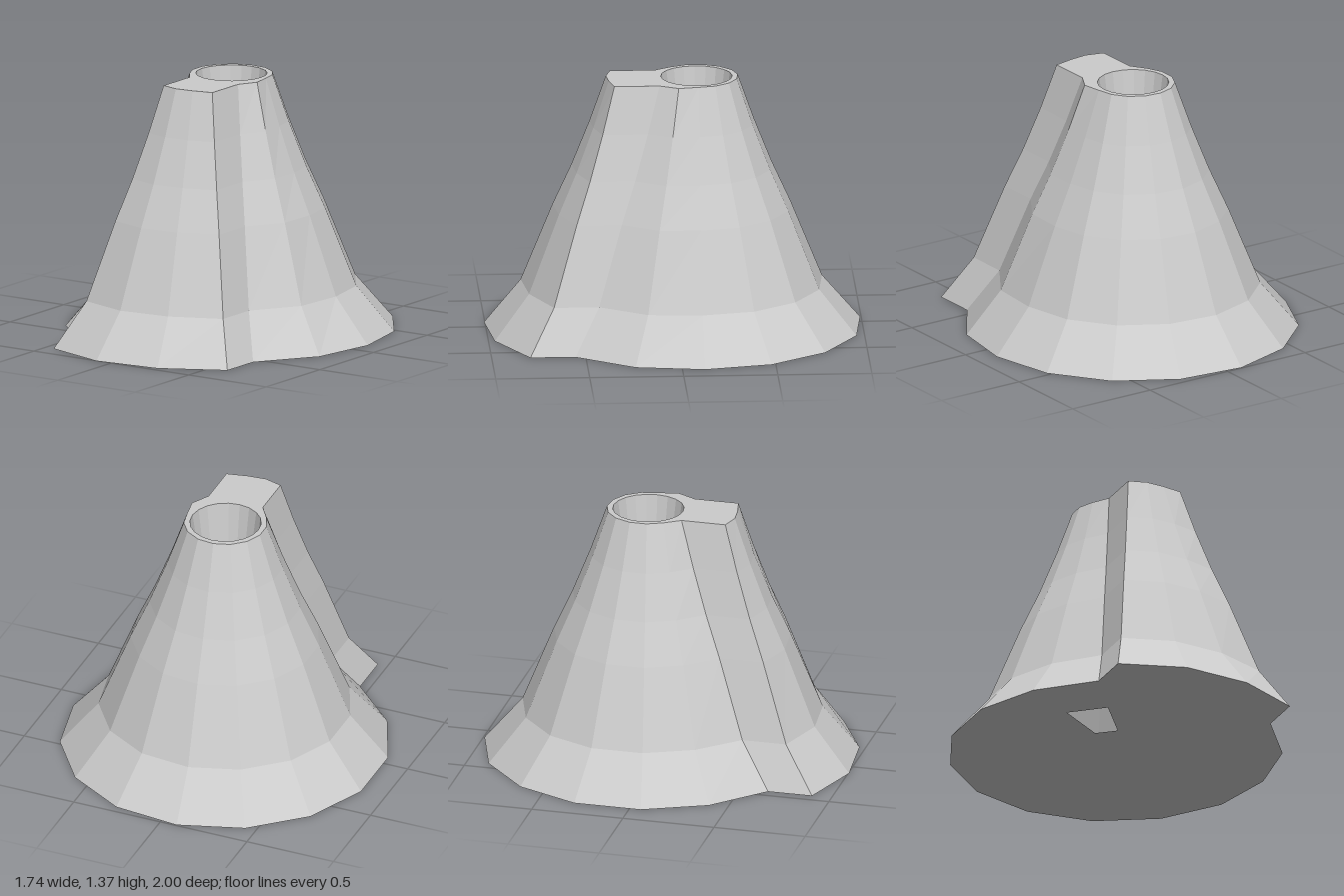
import * as THREE from 'three';

const SIDES = 15, STEP = (Math.PI * 2) / SIDES, SHIFT = 0.12;
const TOP = 1.37, CRATER_R = 0.19;
// Slope profile: [radius, height]
const PROFILE = [[0.88, 0], [0.675, 0.24], [0.505, 0.66], [0.405, 0.88], [0.31, 1.12], [0.222, TOP]];
// Columns beside the front ridge bulge slightly outwards
const BULGE = { 1: 0.04, 2: 0.055, 3: 0.02, 4: 0.02, 5: 0.025 };

// One horizontal section: a 15-sided ring whose front sectors step forward
function section(radius, y) {
  const ring = [];
  const add = (k, z0) => {
    const b = (BULGE[k] || 0) * (y === 0 ? 0.5 : 1);
    const r = radius + b;
    ring.push(new THREE.Vector3(r * Math.cos(k * STEP), y, z0 + r * Math.sin(k * STEP)));
  };
  for (let k = 0; k < SIDES; k++) {
    if (k === 2) add(k, -SHIFT);
    add(k, k >= 2 && k <= 5 ? SHIFT : -SHIFT);
    if (k === 5) add(k, -SHIFT);
  }
  return ring;
}

// Flat cap from a section, optionally with a hole; up = +1 or -1
function cap(ring, hole, up, y) {
  const shape = new THREE.Shape(ring.map((p) => new THREE.Vector2(p.x, -up * p.z)));
  shape.holes.push(new THREE.Path(hole.map(([x, z]) => new THREE.Vector2(x, -up * z))));
  const g = new THREE.ShapeGeometry(shape);
  g.rotateX((-up * Math.PI) / 2);
  g.translate(0, y, 0);
  return g;
}

export function createModel() {
  const group = new THREE.Group();
  const material = new THREE.MeshStandardMaterial({
    color: 0xcccccc, flatShading: true, side: THREE.DoubleSide,
  });
  const addPart = (name, geometry) => {
    const mesh = new THREE.Mesh(geometry, material);
    mesh.name = name;
    group.add(mesh);
    return mesh;
  };

  // Faceted slopes, including the stepped front ridge
  const rings = PROFILE.map(([r, y]) => section(r, y));
  const pos = [];
  for (let i = 0; i < rings.length - 1; i++) {
    const lo = rings[i], hi = rings[i + 1], n = lo.length;
    for (let k = 0; k < n; k++) {
      const j = (k + 1) % n;
      for (const p of [lo[k], hi[k], lo[j], lo[j], hi[k], hi[j]]) pos.push(p.x, p.y, p.z);
    }
  }
  const slopes = new THREE.BufferGeometry();
  slopes.setAttribute('position', new THREE.Float32BufferAttribute(pos, 3));
  slopes.computeVertexNormals();
  addPart('slopes', slopes);

  // Flat summit around the round crater mouth
  const segments = 20, mouth = [];
  for (let i = 0; i < segments; i++) {
    const a = (i / segments) * Math.PI * 2;
    mouth.push([CRATER_R * Math.sin(a), -SHIFT + CRATER_R * Math.cos(a)]);
  }
  addPart('summit', cap(rings[rings.length - 1], mouth, 1, TOP));

  // Tapering crater with a flat floor
  const floorY = TOP - 0.4;
  const crater = new THREE.LatheGeometry([
    new THREE.Vector2(0, floorY), new THREE.Vector2(0.135, floorY), new THREE.Vector2(CRATER_R, TOP),
  ], segments);
  addPart('crater', crater).position.z = -SHIFT;

  // Underside with one small open sector
  const opening = [[-0.09, 0.13], [-0.185, 0.05], [-0.43, 0.22], [-0.26, 0.37]];
  addPart('underside', cap(rings[0], opening, -1, 0));

  return group;
}
